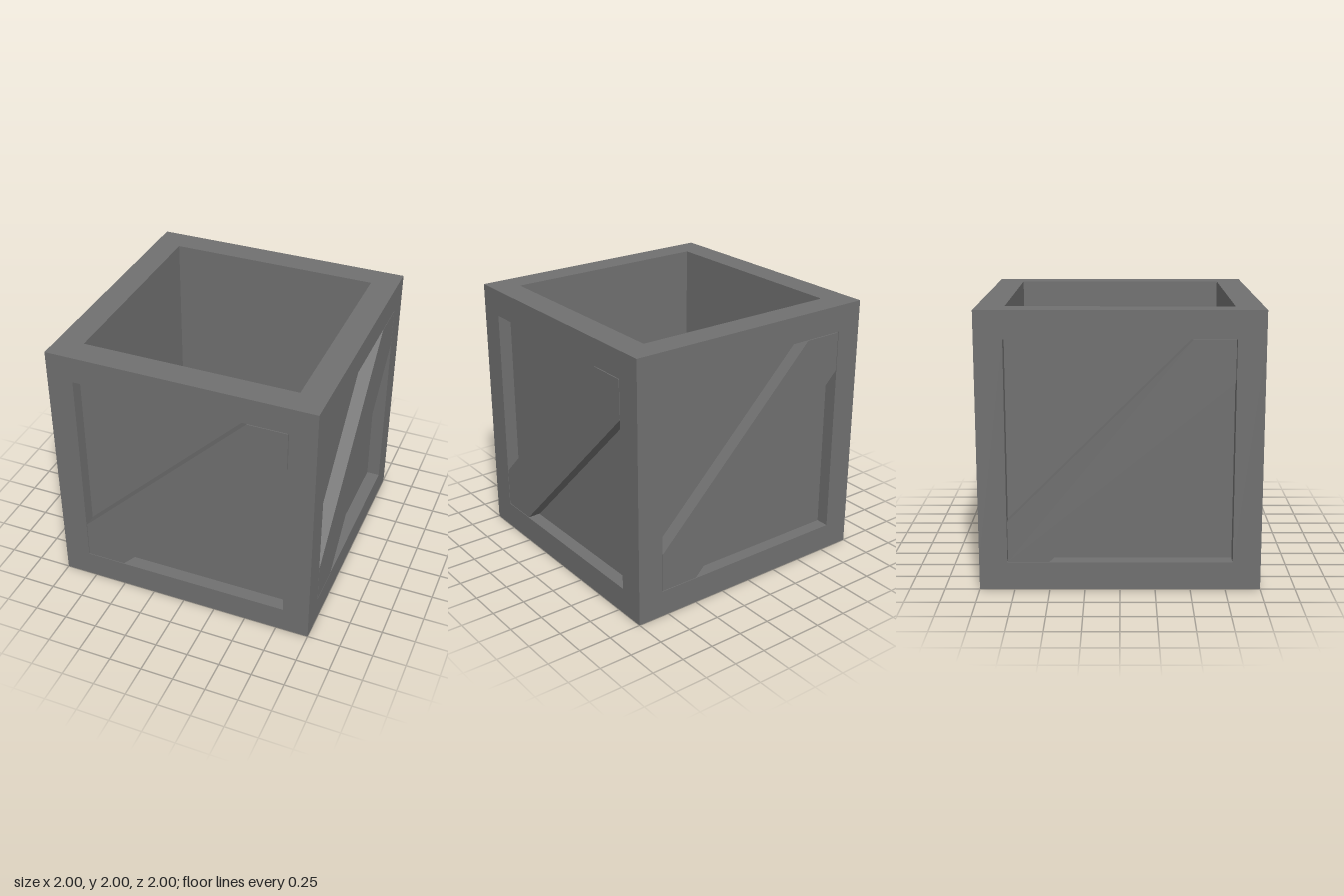
import * as THREE from 'three';

const OUT = 1;          // half width of the crate
const IN = 0.8;         // half width of the openings
const BEAM = OUT - IN;  // beam thickness
const PANEL = 0.1;      // panel and brace thickness

const material = new THREE.MeshStandardMaterial({ color: 0x707070, flatShading: true });

function add(parent, name, geometry, x = 0, y = 0, z = 0) {
  const mesh = new THREE.Mesh(geometry, material);
  mesh.name = name;
  mesh.position.set(x, y, z);
  parent.add(mesh);
}

function polygon(points) {
  return points.map(([x, y]) => new THREE.Vector2(x, y));
}

function square(h) {
  return polygon([[-h, -h], [h, -h], [h, h], [-h, h]]);
}

export function createModel() {
  const crate = new THREE.Group();
  crate.name = 'crate';

  // Square rims at the bottom and the open top
  const rimShape = new THREE.Shape(square(OUT));
  rimShape.holes.push(new THREE.Path(square(IN).reverse()));
  const rim = new THREE.ExtrudeGeometry(rimShape, { depth: BEAM, bevelEnabled: false });
  rim.rotateX(-Math.PI / 2);
  add(crate, 'bottomRim', rim);
  add(crate, 'topRim', rim, 0, 2 - BEAM, 0);

  // Floor, set up into the bottom rim
  add(crate, 'floor', new THREE.BoxGeometry(2 * IN, PANEL, 2 * IN), 0, BEAM - PANEL / 2, 0);

  // Diagonal brace, flush with the frame and a hair smaller than its opening
  const e = IN - 0.005;
  const c = 0.5;
  const braceShape = new THREE.Shape(polygon([[-e, -e], [-c, -e], [e, c], [e, e], [c, e], [-e, -c]]));
  const brace = new THREE.ExtrudeGeometry(braceShape, { depth: PANEL, bevelEnabled: false });

  const post = new THREE.BoxGeometry(BEAM, 2 * IN, BEAM);
  const panel = new THREE.BoxGeometry(2 * IN, 2 * IN, PANEL);

  // Four equal sides, each with a post, a recessed panel and a brace
  ['front', 'left', 'back', 'right'].forEach((label, i) => {
    const side = new THREE.Group();
    side.name = label + 'Side';
    side.rotation.y = i * Math.PI / 2;
    add(side, 'cornerPost', post, OUT - BEAM / 2, 1, OUT - BEAM / 2);
    add(side, 'panel', panel, 0, 1, IN + PANEL / 2);
    add(side, 'brace', brace, 0, 1, IN + PANEL);
    crate.add(side);
  });

  return crate;
}
